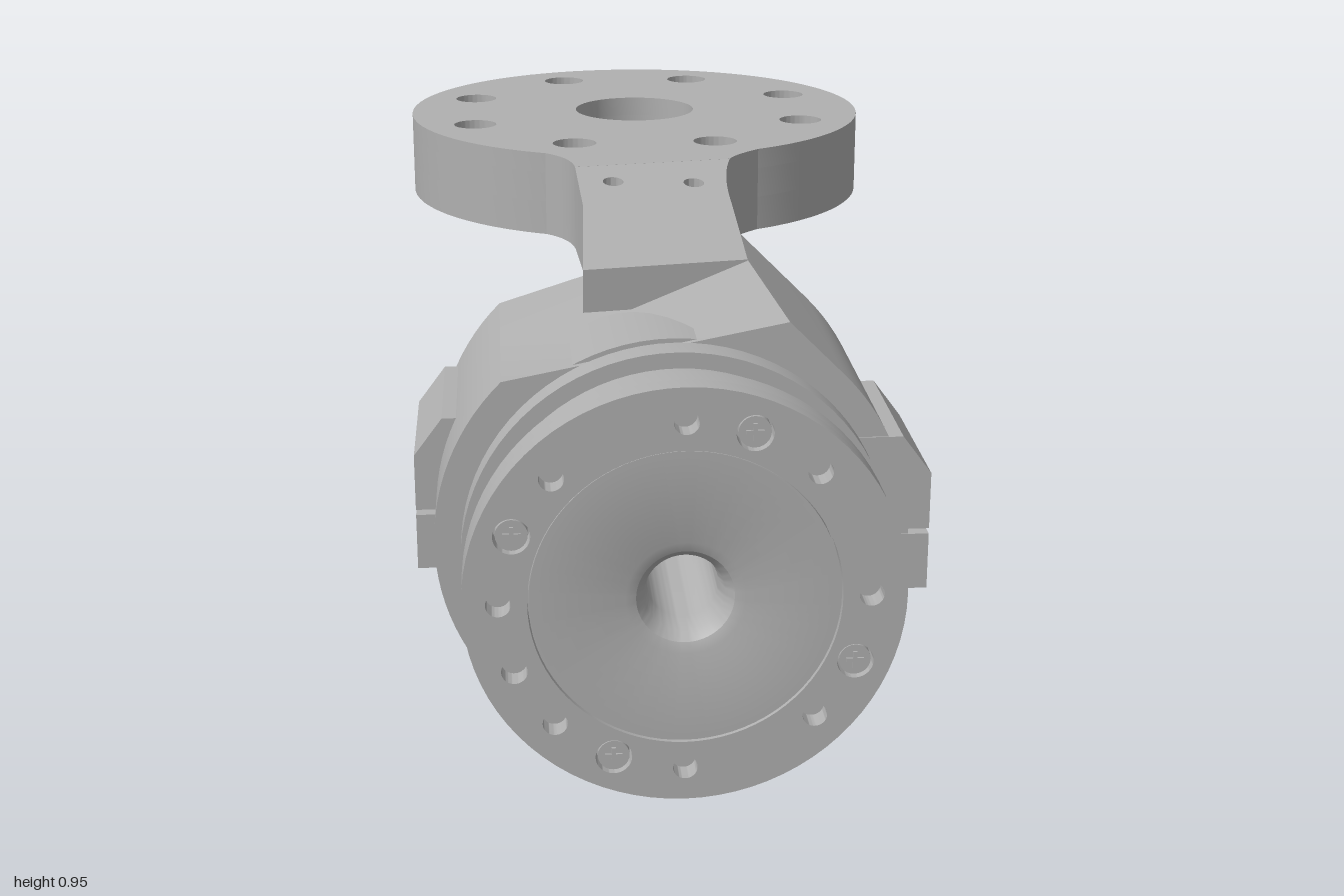
import * as THREE from 'three';
import { toCreasedNormals } from 'three/addons/utils/BufferGeometryUtils.js';

const metal = new THREE.MeshStandardMaterial({ color: 0xb0b0b0 });
metal.name = 'grey metal';

const TILT = 0.164; // motor axis turned about the vertical
const DEG = Math.PI / 180;

function add(group, name, geometry, x = 0, y = 0, z = 0) {
  const mesh = new THREE.Mesh(toCreasedNormals(geometry, 0.5), metal);
  mesh.name = name;
  mesh.position.set(x, y, z);
  group.add(mesh);
  return mesh;
}

const circle = (x, y, r) => new THREE.Path().absarc(x, y, r, 0, Math.PI * 2, true);

function disc(x, y, r, holes = []) {
  const s = new THREE.Shape().absarc(x, y, r, 0, Math.PI * 2, false);
  s.holes.push(...holes);
  return s;
}

function extrude(shape, z0, z1, steps = 1) {
  return new THREE.ExtrudeGeometry(shape, { depth: z1 - z0, steps, bevelEnabled: false, curveSegments: 40 })
    .translate(0, 0, z0);
}

// Extrudes a plan drawn in (x, z) between two heights
const plan = (shape, y0, y1) => extrude(shape, 0, y1 - y0).rotateX(Math.PI / 2).translate(0, y1, 0);

const polar = (r, deg) => [r * Math.cos(deg * DEG), r * Math.sin(deg * DEG)];

// Cylinder lying along z
const rod = (r, z0, z1, sides = 24) =>
  new THREE.CylinderGeometry(r, r, z1 - z0, sides).rotateX(Math.PI / 2).translate(0, 0, (z0 + z1) / 2);

const armTop = (z) => Math.min(0.95, 0.956 - 0.206 * z);

function makeFlange(group) {
  const cx = 0.065, cz = -0.51;
  const bolts = (r) => Array.from({ length: 8 }, (_, i) => {
    const [x, z] = polar(0.38, 32 + 45 * i);
    return circle(cx + x, cz + z, r);
  });
  const bore = () => circle(cx, cz, 0.13);
  add(group, 'flangeTop', plan(disc(cx, cz, 0.49, [bore(), ...bolts(0.045)]), 0.91, 0.95));
  add(group, 'flangeWeb', plan(disc(cx, cz, 0.49, [bore(), ...bolts(0.027)]), 0.85, 0.91));
  add(group, 'flangeRim', plan(disc(cx, cz, 0.49, [circle(cx, cz, 0.455)]), 0.782, 0.85));
  add(group, 'flangeHub', plan(disc(cx, cz, 0.155, [bore()]), 0.835, 0.85));

  // Flat neck hugging the flange, with filleted sides
  const neck = new THREE.Shape();
  neck.moveTo(0.32, -0.1);
  neck.quadraticCurveTo(0.17, -0.03, 0.135, 0.03);
  neck.lineTo(-0.18, 0.03);
  neck.quadraticCurveTo(-0.17, -0.06, -0.22, -0.115);
  for (let i = 0; i <= 16; i++) {
    const [x, z] = polar(0.472, 125 - i * 4.2);
    neck.lineTo(cx + x, cz + z);
  }
  add(group, 'armNeck', plan(neck, 0.782, 0.95));

  // Arm sloping down to the motor housing
  const arm = new THREE.Shape();
  arm.moveTo(-0.18, 0.03);
  arm.lineTo(0.135, 0.03);
  arm.quadraticCurveTo(0.1, 0.1, 0.085, 0.22);
  arm.lineTo(0.05, 0.46);
  arm.lineTo(-0.255, 0.46);
  arm.lineTo(-0.2, 0.2);
  arm.holes.push(circle(-0.12, 0.105, 0.02), circle(0.035, 0.13, 0.02));
  const g = plan(arm, 0.782, 0.95);
  const p = g.attributes.position;
  for (let i = 0; i < p.count; i++) if (p.getY(i) > 0.9) p.setY(i, armTop(p.getZ(i)));
  add(group, 'arm', g);
}

function makeHousing(motor) {
  // Round shell with a tangent roof rising into the arm
  const R = 0.42, roof = R * Math.SQRT2;
  const shape = new THREE.Shape();
  shape.moveTo(-(roof - 0.44), 0.44);
  shape.absarc(0, 0, R, 135 * DEG, 405 * DEG, false);
  shape.lineTo(roof - 0.44, 0.44);
  shape.holes.push(circle(0, 0, 0.362));
  const g = extrude(shape, 0.202, 0.682, 2);
  const p = g.attributes.position;
  for (let i = 0; i < p.count; i++) {
    const x = p.getX(i), y = p.getY(i);
    if (y < 0.43) continue;
    const z = motor.position.z + x * Math.sin(TILT) + p.getZ(i) * Math.cos(TILT);
    const h = Math.min(0.44, armTop(z) - motor.position.y);
    p.setXY(i, Math.sign(x) * (roof - h), h);
  }
  add(motor, 'housing', g);

  // Split clamp blocks on both sides
  const upper = [[0.3, 0.005], [0.457, 0.005], [0.457, 0.11], [0.405, 0.18], [0.3, 0.18]];
  const lower = [[0.3, -0.11], [0.457, -0.11], [0.457, -0.005], [0.3, -0.005]];
  for (const [side, z0, z1] of [[1, 0.375, 0.685], [-1, 0.23, 0.53]]) {
    for (const pts of [upper, lower]) {
      const s = new THREE.Shape(pts.map(([x, y]) => new THREE.Vector2(side * x, y)));
      add(motor, 'clampBlock', extrude(s, z0, z1));
    }
    for (const t of [0.27, 0.73]) {
      add(motor, 'clampScrewSeat', new THREE.CylinderGeometry(0.032, 0.025, 0.09, 20),
        side * 0.367, -0.15, z0 + (z1 - z0) * t);
    }
  }

  // Protruding lip at the bottom of the rear edge
  const lip = new THREE.Shape();
  lip.absarc(0, 0, R, 252 * DEG, 300 * DEG, false);
  lip.absarc(0, 0, 0.362, 300 * DEG, 252 * DEG, true);
  for (const a of [262, 290]) lip.holes.push(circle(...polar(0.391, a), 0.014));
  add(motor, 'rearLip', extrude(lip, 0.14, 0.204));
}

function makeRotor(motor) {
  // Core, grooved neck and output hub with a through bore
  const profile = [
    [0.06, 0.25], [0.365, 0.25], [0.365, 0.67], [0.35, 0.67], [0.35, 0.72], [0.373, 0.72],
    [0.373, 0.775], [0.345, 0.775], [0.345, 0.863], [0.37, 0.863], [0.37, 0.908], [0.26, 0.908],
    [0.26, 0.944], [0.1, 0.944], [0.082, 0.937], [0.068, 0.918], [0.06, 0.88], [0.06, 0.25],
  ].map(([r, w]) => new THREE.Vector2(r, w));
  add(motor, 'rotor', new THREE.LatheGeometry(profile, 80).rotateX(Math.PI / 2));

  // Drilled front ring
  const screws = [69, 157, 247, 337];
  const holes = [circle(0, 0, 0.262), circle(...polar(0.31, 203), 0.022)];
  for (let a = 0; a < 360; a += 45) holes.push(circle(...polar(0.31, a), 0.021));
  for (const a of screws) holes.push(circle(...polar(0.31, a), 0.031));
  add(motor, 'frontRing', extrude(disc(0, 0, 0.37, holes), 0.908, 0.948));

  for (const a of screws) {
    const [x, y] = polar(0.31, a);
    add(motor, 'frontScrew', rod(0.027, 0.905, 0.942), x, y);
    add(motor, 'screwCross', new THREE.BoxGeometry(0.03, 0.007, 0.006), x, y, 0.943);
    add(motor, 'screwCross', new THREE.BoxGeometry(0.007, 0.03, 0.006), x, y, 0.943);
  }
}

function makeRear(motor) {
  add(motor, 'boreCollar', extrude(disc(0, 0, 0.078, [circle(0, 0, 0.06)]), 0.215, 0.252));

  // Mounting posts around the rear board
  for (const [x, y, z] of [[0.24, 0.23, 0.2], [0.28, -0.19, 0.19], [-0.2, -0.28, 0.19]]) {
    add(motor, 'rearPost', extrude(disc(0, 0, 0.04, [circle(0, 0, 0.018)]), z, 0.252), x, y);
  }
  add(motor, 'longStud', extrude(disc(0, 0, 0.04, [circle(0, 0, 0.02)]), 0.15, 0.252), -0.225, 0.24);

  // Board connectors: hollow sockets with a row of pins
  const sockets = [[-0.1, 0.2, 0.15, 0.08, -0.4], [0.25, 0.04, 0.12, 0.07, 1.4],
    [0.07, -0.2, 0.13, 0.08, 0.2], [-0.06, 0.12, 0.09, 0.05, -0.4]];
  for (const [x, y, w, h, turn] of sockets) {
    const socket = new THREE.Group();
    socket.name = 'connector';
    socket.position.set(x, y, 0);
    socket.rotation.z = turn;
    motor.add(socket);
    for (const s of [-1, 1]) {
      add(socket, 'socketWall', new THREE.BoxGeometry(w, 0.012, 0.045), 0, s * h / 2, 0.23);
      add(socket, 'socketEnd', new THREE.BoxGeometry(0.012, h, 0.045), s * w / 2, 0, 0.23);
    }
    for (let i = -1; i <= 1; i++) add(socket, 'pin', new THREE.BoxGeometry(0.012, 0.012, 0.03), i * w * 0.25, 0, 0.238);
  }
  add(motor, 'chip', new THREE.BoxGeometry(0.08, 0.08, 0.015), -0.26, -0.1, 0.245).rotation.z = 0.35;
}

export function createModel() {
  const model = new THREE.Group();
  model.name = 'motorWithMountingArm';
  makeFlange(model);
  const motor = new THREE.Group();
  motor.name = 'motor';
  motor.position.set(-0.029, 0.42, -0.005);
  motor.rotation.y = -TILT;
  model.add(motor);
  makeHousing(motor);
  makeRotor(motor);
  makeRear(motor);
  return model;
}
